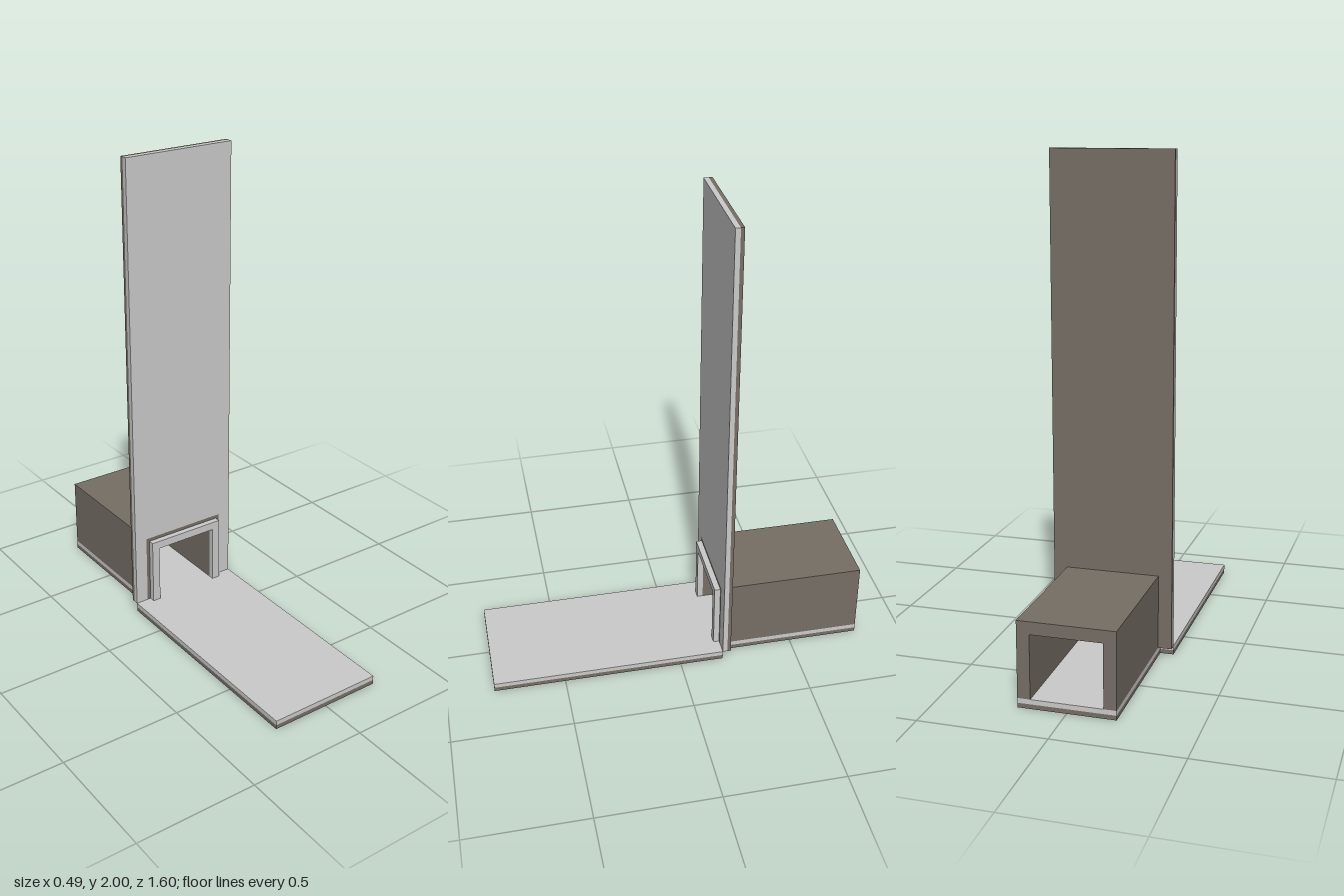
import * as THREE from 'three';

const light = new THREE.MeshStandardMaterial({ color: 0xcccccc, flatShading: true });
const dark = new THREE.MeshStandardMaterial({ color: 0x766f65, flatShading: true });

const FLOOR = 0.037, SPLIT = 0.018;      // floor top and layer seam
const WALL_FRONT = -0.185, WALL_SEAM = -0.205, WALL_BACK = -0.22, END = 0.8;

// Upside-down U outline standing on the floor, extruded from zBack to zFront
function arch(name, halfOuter, top, halfInner, innerTop, zBack, zFront, material) {
  const shape = new THREE.Shape([
    [-halfOuter, FLOOR], [-halfInner, FLOOR], [-halfInner, innerTop], [halfInner, innerTop],
    [halfInner, FLOOR], [halfOuter, FLOOR], [halfOuter, top], [-halfOuter, top],
  ].map(([x, y]) => new THREE.Vector2(x, y)));
  const geometry = new THREE.ExtrudeGeometry(shape, { depth: zFront - zBack, bevelEnabled: false });
  geometry.translate(0, 0, zBack);
  const mesh = new THREE.Mesh(geometry, material);
  mesh.name = name;
  return mesh;
}

// T-like floor outline: wide in front of the wall, narrow under the tunnel
function floorLayer(name, y0, y1, material) {
  const wide = 0.245, narrow = 0.19;
  const shape = new THREE.Shape([
    [-wide, -END], [wide, -END], [wide, -WALL_FRONT], [narrow, -WALL_FRONT],
    [narrow, END], [-narrow, END], [-narrow, -WALL_FRONT], [-wide, -WALL_FRONT],
  ].map(([x, y]) => new THREE.Vector2(x, y)));
  const geometry = new THREE.ExtrudeGeometry(shape, { depth: y1 - y0, bevelEnabled: false });
  geometry.rotateX(-Math.PI / 2).translate(0, y0, 0);
  const mesh = new THREE.Mesh(geometry, material);
  mesh.name = name;
  return mesh;
}

export function createModel() {
  const model = new THREE.Group();
  model.name = 'wallWithTunnel';
  model.add(
    // Two-layer floor
    floorLayer('floorBase', 0, SPLIT, dark),
    floorLayer('floorSurface', SPLIT, FLOOR, light),
    // Two-layer tall wall with a doorway
    arch('wallFront', 0.245, 2, 0.19, 0.34, WALL_SEAM, WALL_FRONT, light),
    arch('wallBack', 0.245, 2, 0.19, 0.34, WALL_BACK, WALL_SEAM, dark),
    // Tunnel through the wall, and the raised frame at its mouth
    arch('tunnel', 0.19, 0.34, 0.14, 0.29, -END, WALL_FRONT, dark),
    arch('doorFrame', 0.175, 0.325, 0.14, 0.29, WALL_FRONT, -0.16, light),
  );
  return model;
}
